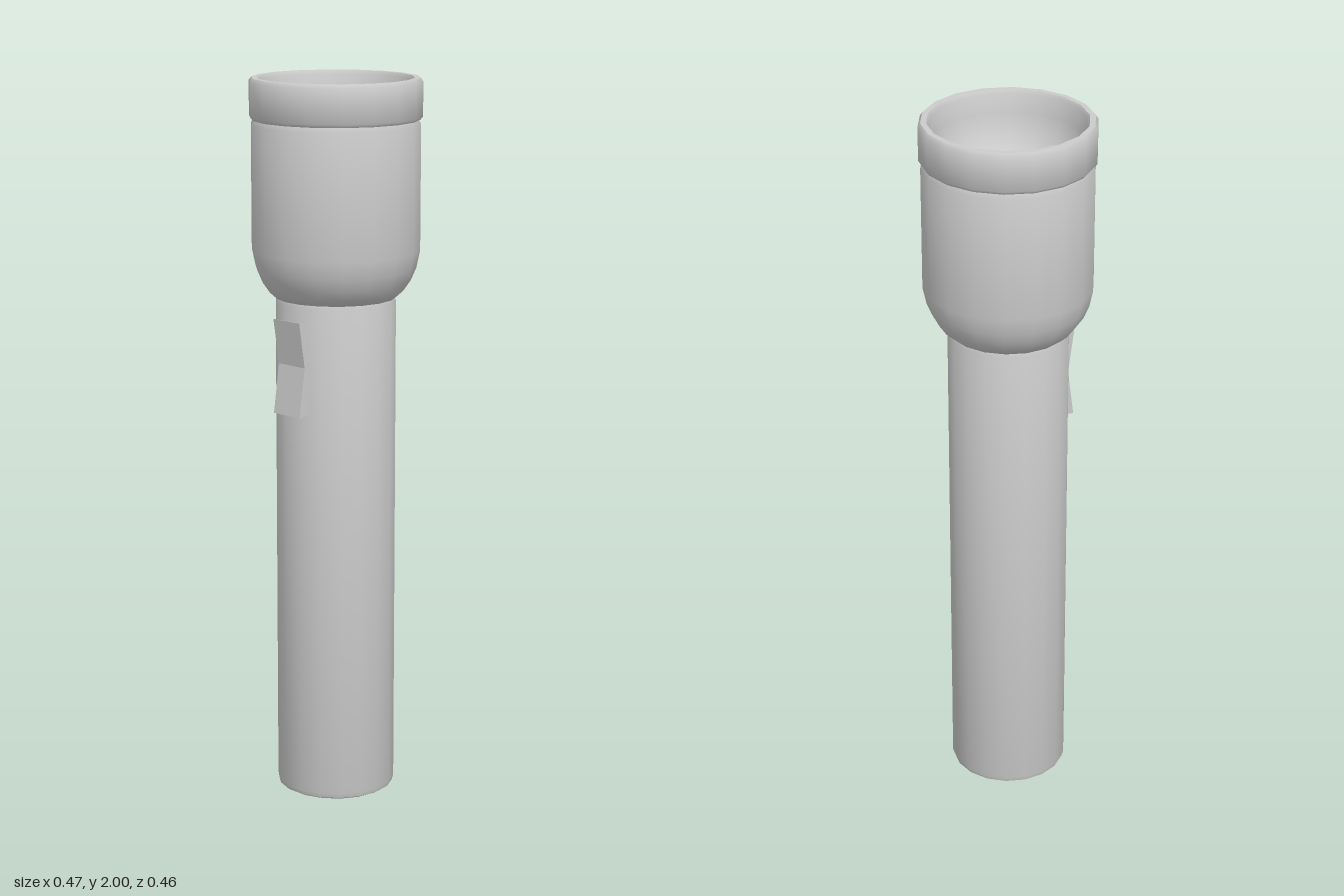
import * as THREE from 'three';
import { toCreasedNormals } from 'three/addons/utils/BufferGeometryUtils.js';

const SIDES = 18;
const material = new THREE.MeshStandardMaterial({ color: 0xcccccc });

function addPart(group, name, geometry) {
  const mesh = new THREE.Mesh(geometry, material);
  mesh.name = name;
  group.add(mesh);
  return mesh;
}

// Turned part from [radius, height] pairs, with a corner on the x axis
function turned(profile, crease = 0.75) {
  const points = profile.map(([r, y]) => new THREE.Vector2(r, y));
  return toCreasedNormals(new THREE.LatheGeometry(points, SIDES, Math.PI / 2), crease);
}

export function createModel() {
  const group = new THREE.Group();

  // Straight handle with a small bevel at the foot
  addPart(group, 'handle', turned([
    [0, 0], [0.15, 0], [0.161, 0.006], [0.165, 0.02], [0.165, 1.395], [0.16, 1.41], [0, 1.41],
  ]));

  // Head: flares from the handle, then rises straight to the collar
  addPart(group, 'head', turned([
    [0, 1.405], [0.165, 1.405], [0.185, 1.423], [0.205, 1.452], [0.22, 1.487],
    [0.23, 1.535], [0.23, 1.875], [0.224, 1.89], [0.2, 1.89],
  ]));

  // Collar ring, rolling over the rim into the reflector bowl
  addPart(group, 'collarAndReflector', turned([
    [0.2, 1.888], [0.228, 1.888], [0.235, 1.897], [0.235, 1.99], [0.228, 2], [0.213, 2],
    [0.207, 1.99], [0.203, 1.94], [0.188, 1.885], [0.162, 1.84], [0.128, 1.807],
    [0.09, 1.79], [0, 1.78],
  ]));

  // Round bulb in the middle of the bowl
  const bulb = addPart(group, 'bulb', new THREE.SphereGeometry(0.093, SIDES, 12));
  bulb.position.y = 1.81;

  // Rocker switch: side outline in (z, y), extruded across x
  const outline = new THREE.Shape([
    [0.13, 1.11], [0.188, 1.1], [0.168, 1.235], [0.188, 1.36], [0.13, 1.345],
  ].map(([z, y]) => new THREE.Vector2(z, y)));
  const rocker = new THREE.ExtrudeGeometry(outline, { depth: 0.1, bevelEnabled: false });
  rocker.translate(0, 0, -0.05).rotateY(-Math.PI / 2);
  addPart(group, 'rockerSwitch', rocker);

  return group;
}
